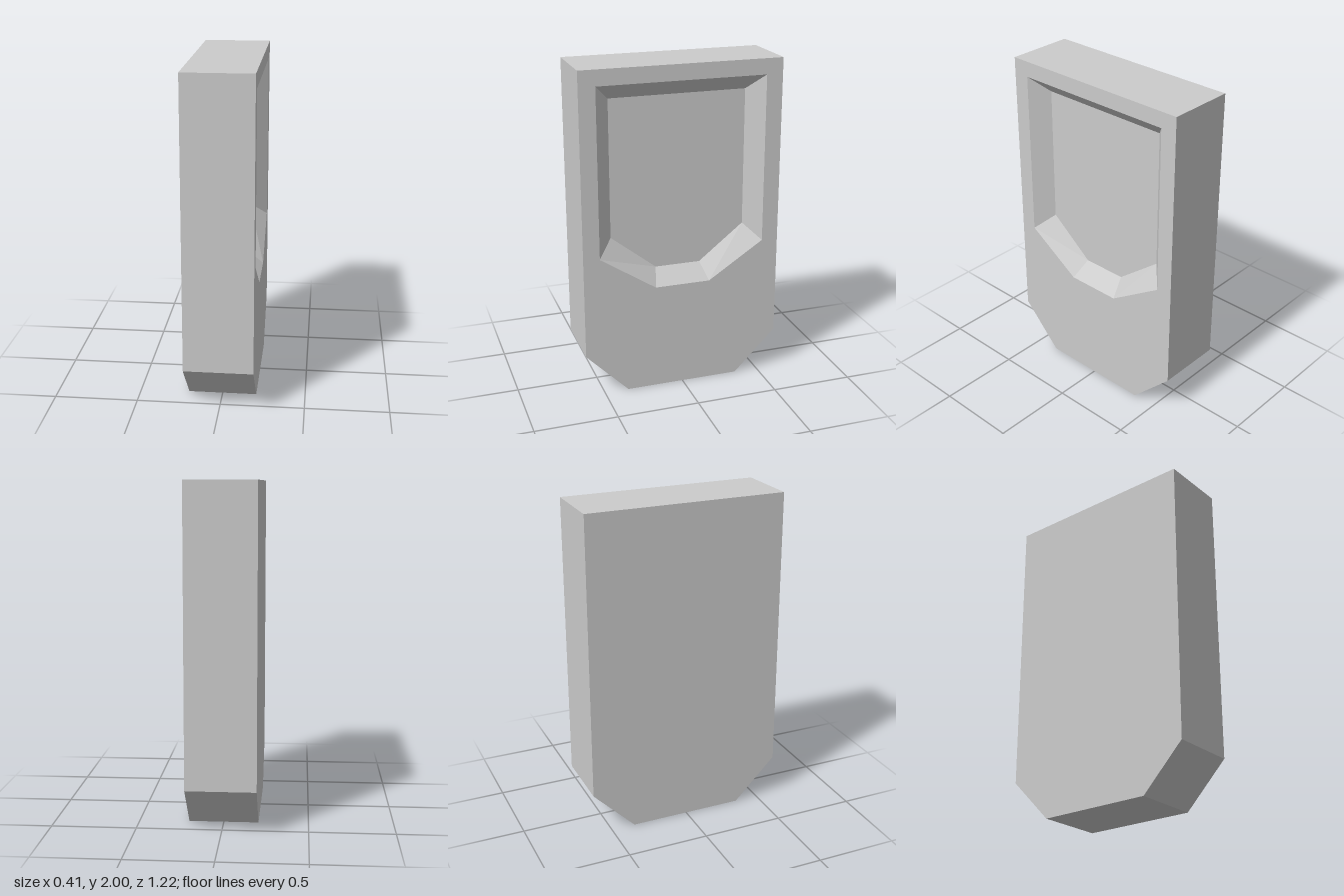
import * as THREE from 'three';

const material = new THREE.MeshStandardMaterial({ color: 0xcccccc, flatShading: true });

// Closed, symmetric outline, counter-clockwise: chamfered bottom, square top
const outline = (halfWidth, top, shoulder, halfBase, base) => [
  [-halfBase, base], [halfBase, base], [halfWidth, shoulder],
  [halfWidth, top], [-halfWidth, top], [-halfWidth, shoulder],
].map(([x, y]) => new THREE.Vector2(x, y));

// Strip of quads joining two outlines at two depths
function band(from, z0, to, z1) {
  const pos = [];
  from.forEach((a, i) => {
    const j = (i + 1) % from.length;
    const b = from[j], c = to[j], d = to[i];
    pos.push(a.x, a.y, z0, b.x, b.y, z0, c.x, c.y, z1);
    pos.push(a.x, a.y, z0, c.x, c.y, z1, d.x, d.y, z1);
  });
  const geometry = new THREE.BufferGeometry();
  geometry.setAttribute('position', new THREE.Float32BufferAttribute(pos, 3));
  geometry.computeVertexNormals();
  return geometry;
}

// Flat face filling an outline, with an optional hole
function face(points, z, hole) {
  const shape = new THREE.Shape(points);
  if (hole) shape.holes.push(new THREE.Path(hole));
  return new THREE.ShapeGeometry(shape).translate(0, 0, z);
}

export function createModel() {
  const model = new THREE.Group();
  model.name = 'recessedBlock';
  const half = 0.205, depth = 0.1;
  const body = outline(0.612, 2, 0.263, 0.352, 0);
  const rim = outline(0.512, 1.905, 0.88, 0.17, 0.657);
  const floor = outline(0.418, 1.81, 0.97, 0.14, 0.75);

  const add = (name, geometry) => {
    const mesh = new THREE.Mesh(geometry.rotateY(Math.PI / 2), material); // recess faces +x
    mesh.name = name;
    model.add(mesh);
  };

  // Solid block
  add('outerWall', band(body, -half, body, half));
  add('plainFace', face(body, half).rotateY(Math.PI));
  add('recessedFace', face(body, half, rim));

  // Recess with sloping sides
  add('recessWall', band(rim, half, floor, half - depth));
  add('recessFloor', face(floor, half - depth));
  return model;
}
